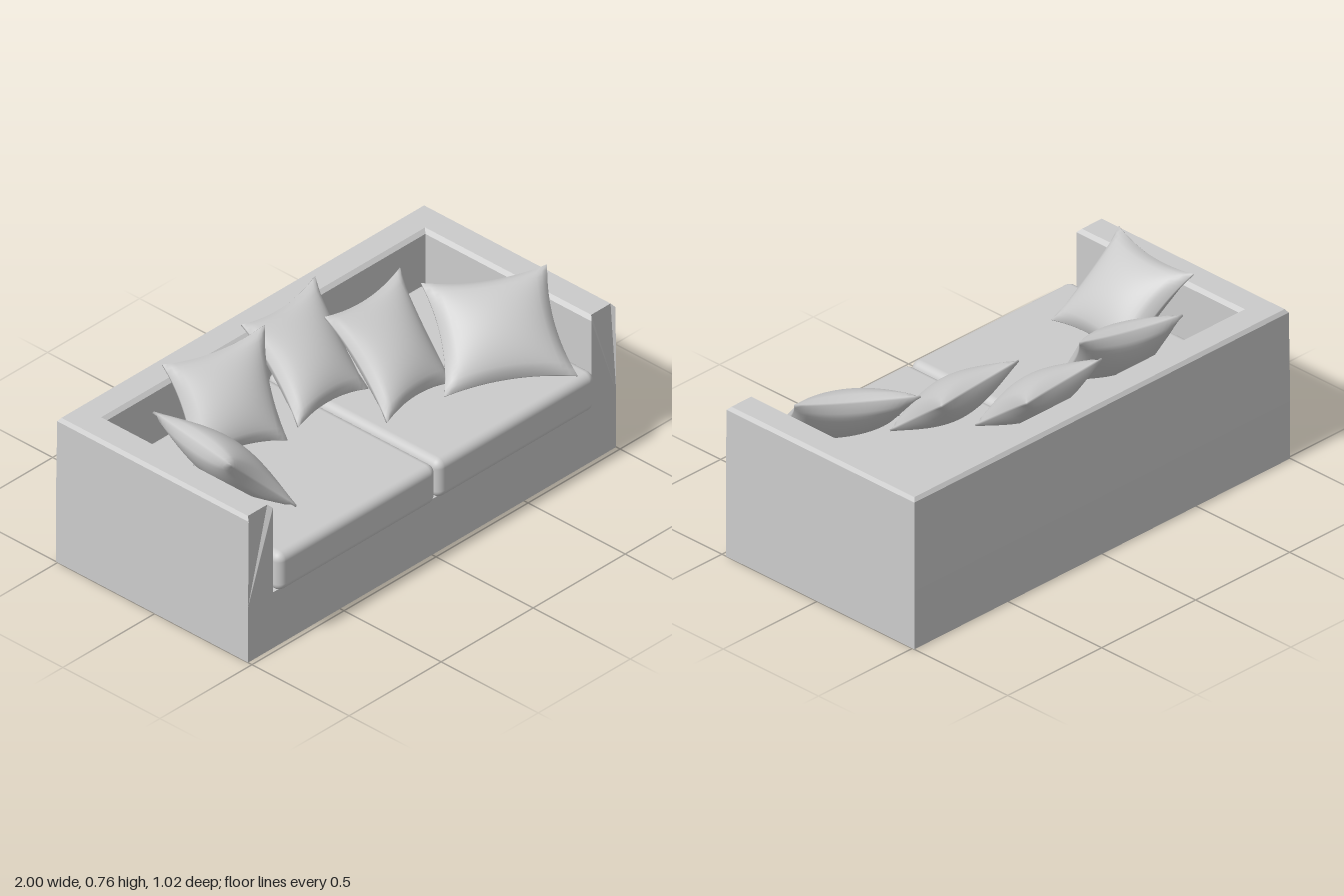
import * as THREE from 'three';
import { mergeVertices } from 'three/addons/utils/BufferGeometryUtils.js';
import { RoundedBoxGeometry } from 'three/addons/geometries/RoundedBoxGeometry.js';

const grey = new THREE.MeshStandardMaterial({ color: 0xcccccc });
const greyShell = new THREE.MeshStandardMaterial({ color: 0xcccccc, side: THREE.DoubleSide });

const FRONT = 0.48, BACK = -0.51, WALL = 0.135, TOP = 0.645, DECK = 0.25, BEVEL = 0.015;

function add(parent, name, geometry, material = grey) {
  const mesh = new THREE.Mesh(geometry, material);
  mesh.name = name;
  parent.add(mesh);
  return mesh;
}

// Hollow, bottomless body: a wall section swept around arms and back, plus front and deck
function shellGeometry() {
  const pos = [];
  const tri = (...pts) => pts.forEach((p) => pos.push(...p));
  const quad = (a, b, c, d) => tri(a, b, c, a, c, d);

  // Section from the outer foot, over the bevelled top, down to the deck: [inset, height]
  const section = [
    [0, 0], [0, DECK], [BEVEL / 4, TOP - BEVEL], [BEVEL, TOP],
    [WALL - BEVEL, TOP], [WALL, TOP - BEVEL], [WALL, DECK],
  ];
  const loops = section.map(([o, y]) => {
    const z = y === TOP ? FRONT - BEVEL : FRONT;
    return [[1 - o, y, z], [1 - o, y, BACK + o], [-1 + o, y, BACK + o], [-1 + o, y, z]];
  });
  for (let i = 0; i < loops.length - 1; i++) {
    for (let j = 0; j < 3; j++) {
      quad(loops[i][j], loops[i][j + 1], loops[i + 1][j + 1], loops[i + 1][j]);
    }
  }
  // Front ends of both arms
  for (let i = 2; i < loops.length - 1; i++) {
    tri(loops[1][0], loops[i][0], loops[i + 1][0]);
    tri(loops[1][3], loops[i + 1][3], loops[i][3]);
  }
  // Front panel under the seat, and the deck
  quad([-1, 0, FRONT], [1, 0, FRONT], [1, DECK, FRONT], [-1, DECK, FRONT]);
  const d = loops[loops.length - 1];
  quad(d[0], d[1], d[2], d[3]);

  const g = new THREE.BufferGeometry();
  g.setAttribute('position', new THREE.Float32BufferAttribute(pos, 3));
  g.computeVertexNormals();
  return g;
}

// Seat cushion with a softly crowned top
function seatGeometry() {
  const w = 0.858, h = 0.17, d = 0.89;
  return new RoundedBoxGeometry(w, h, d, 5, 0.035);
}

// Stuffed square pillow stretched between four corners: top left, top right, bottom right, bottom left
function pillowGeometry(corners, half = 0.08) {
  const [tl, tr, br, bl] = corners.map((c) => new THREE.Vector3(...c));
  const normal = tr.clone().sub(tl).cross(tl.clone().sub(bl)).normalize();
  let g = new THREE.BoxGeometry(2, 2, 2, 20, 20, 1);
  g.deleteAttribute('normal');
  g.deleteAttribute('uv');
  g = mergeVertices(g);
  const p = g.attributes.position;
  const v = new THREE.Vector3(), low = new THREE.Vector3();
  for (let i = 0; i < p.count; i++) {
    const x = p.getX(i), y = p.getY(i), side = p.getZ(i);
    // Edges pull inward between the pointed corners
    const s = x * (1 - 0.13 * (1 - y * y)), t = y * (1 - 0.13 * (1 - x * x));
    v.lerpVectors(tl, tr, (s + 1) / 2);
    low.lerpVectors(bl, br, (s + 1) / 2);
    v.lerp(low, (1 - t) / 2);
    const puff = Math.pow((1 - x * x) * (1 - y * y), 0.55);
    v.addScaledVector(normal, side * (0.004 + half * puff));
    p.setXYZ(i, v.x, v.y, v.z);
  }
  g.computeVertexNormals();
  return g;
}

export function createModel() {
  const sofa = new THREE.Group();
  sofa.name = 'sofa';

  add(sofa, 'sofaBody', shellGeometry(), greyShell);

  for (const side of [-1, 1]) {
    const seat = add(sofa, side > 0 ? 'leftSeatCushion' : 'rightSeatCushion', seatGeometry());
    seat.position.set(side * 0.432, 0.335, 0.065);
  }

  const pillows = {
    rightArmPillow: [[-0.88, 0.735, 0.27], [-0.82, 0.735, -0.18], [-0.54, 0.43, -0.1], [-0.58, 0.43, 0.33]],
    rightBackPillow: [[-0.57, 0.74, -0.37], [-0.13, 0.755, -0.26], [-0.28, 0.43, 0], [-0.65, 0.43, -0.13]],
    middleBackPillow: [[-0.15, 0.72, -0.36], [0.28, 0.715, -0.39], [0.18, 0.43, -0.02], [-0.19, 0.43, -0.03]],
    leftFrontPillow: [[0.09, 0.73, -0.16], [0.53, 0.725, -0.19], [0.43, 0.43, 0.18], [0.06, 0.43, 0.19]],
    leftArmPillow: [[0.52, 0.715, -0.07], [0.92, 0.73, 0.2], [0.78, 0.43, 0.49], [0.33, 0.435, 0.23]],
  };
  for (const [name, corners] of Object.entries(pillows)) add(sofa, name, pillowGeometry(corners));

  return sofa;
}
